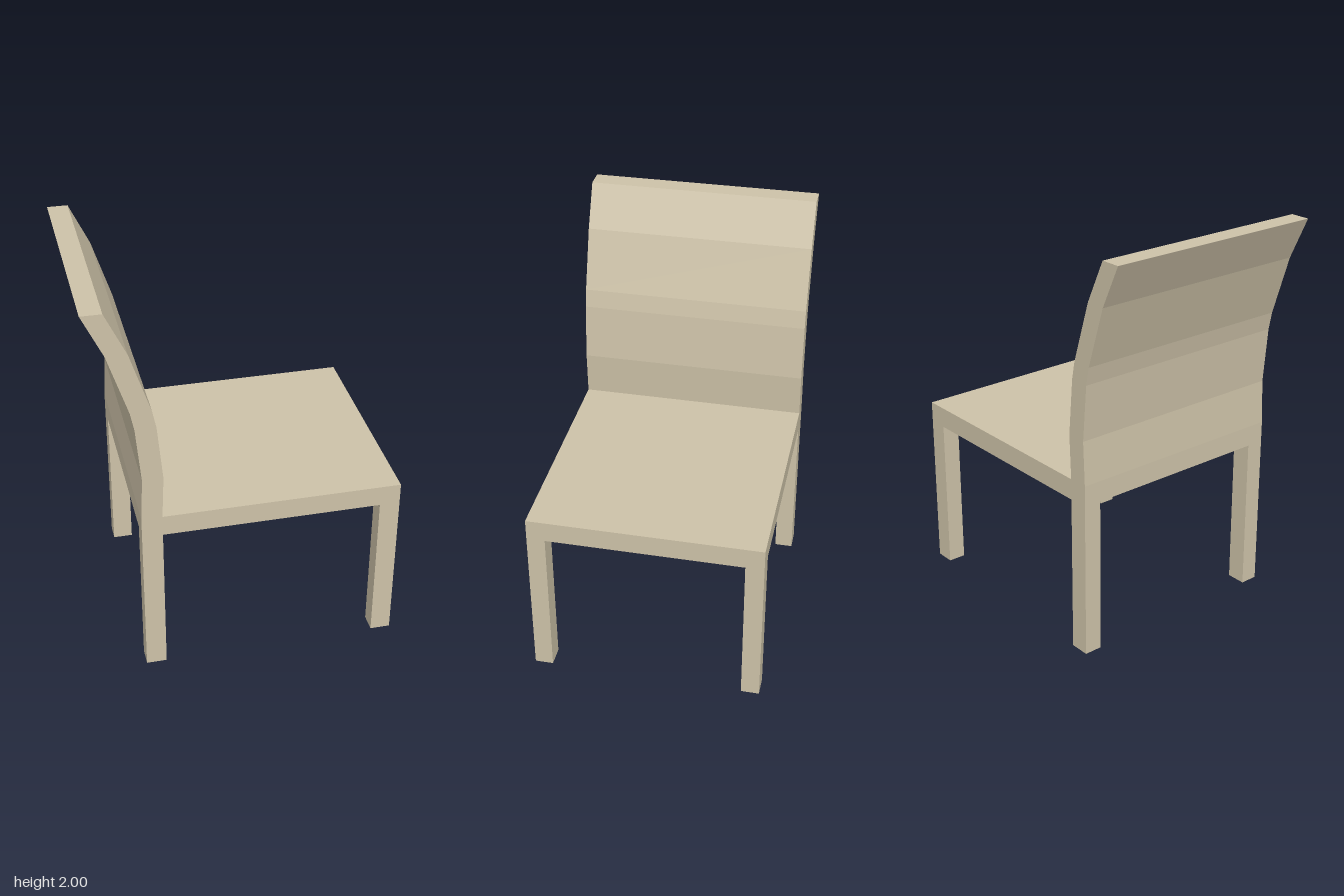
import * as THREE from 'three';

export function createModel() {
  const chair = new THREE.Group();
  chair.name = 'chair';
  const wood = new THREE.MeshStandardMaterial({ color: 0xcdc2a8 });
  wood.name = 'pale wood';

  const add = (name, geometry, x, y, z, parent = chair) => {
    const mesh = new THREE.Mesh(geometry, wood);
    mesh.name = name;
    mesh.position.set(x, y, z);
    parent.add(mesh);
    return mesh;
  };

  const depth = 1.14, thick = 0.1, seatBottom = 0.795, seatTop = 0.9;

  // Seat slab
  const seatLength = 1.17;
  add('seat', new THREE.BoxGeometry(seatLength, seatTop - seatBottom, depth),
    0.75 - seatLength / 2, (seatTop + seatBottom) / 2, 0);

  // Curved backrest: side profile of constant thickness, drawn from its rear edge
  const rear = [[-0.52, seatBottom], [-0.52, seatTop], [-0.51, 1.12], [-0.535, 1.40],
    [-0.553, 1.49], [-0.65, 1.79], [-0.75, 2]].map(([x, y]) => new THREE.Vector2(x, y));
  const inner = rear.map((p) => new THREE.Vector2(p.x + thick, p.y)).reverse();
  const profile = new THREE.Shape([...rear, ...inner]);
  add('backrest', new THREE.ExtrudeGeometry(profile, { depth, bevelEnabled: false }),
    0, 0, -depth / 2);

  // Four square legs, each on a very shallow tapered foot
  const legDepth = 0.09, footHeight = 0.006;
  const legGeometry = new THREE.BoxGeometry(thick, seatBottom - footHeight, legDepth);
  const footGeometry = new THREE.CylinderGeometry(Math.SQRT1_2, 0.25, footHeight, 4, 1)
    .rotateY(Math.PI / 4).scale(thick, 1, legDepth).toNonIndexed();
  footGeometry.computeVertexNormals();
  for (const [end, x] of [['back', -0.47], ['front', 0.70]]) {
    for (const side of [-1, 1]) {
      const leg = new THREE.Group();
      leg.name = end + (side > 0 ? 'LegNear' : 'LegFar');
      leg.position.set(x, 0, side * (depth - legDepth) / 2);
      add('legPost', legGeometry, 0, (seatBottom + footHeight) / 2, 0, leg);
      add('foot', footGeometry, 0, footHeight / 2, 0, leg);
      chair.add(leg);
    }
  }
  return chair;
}
